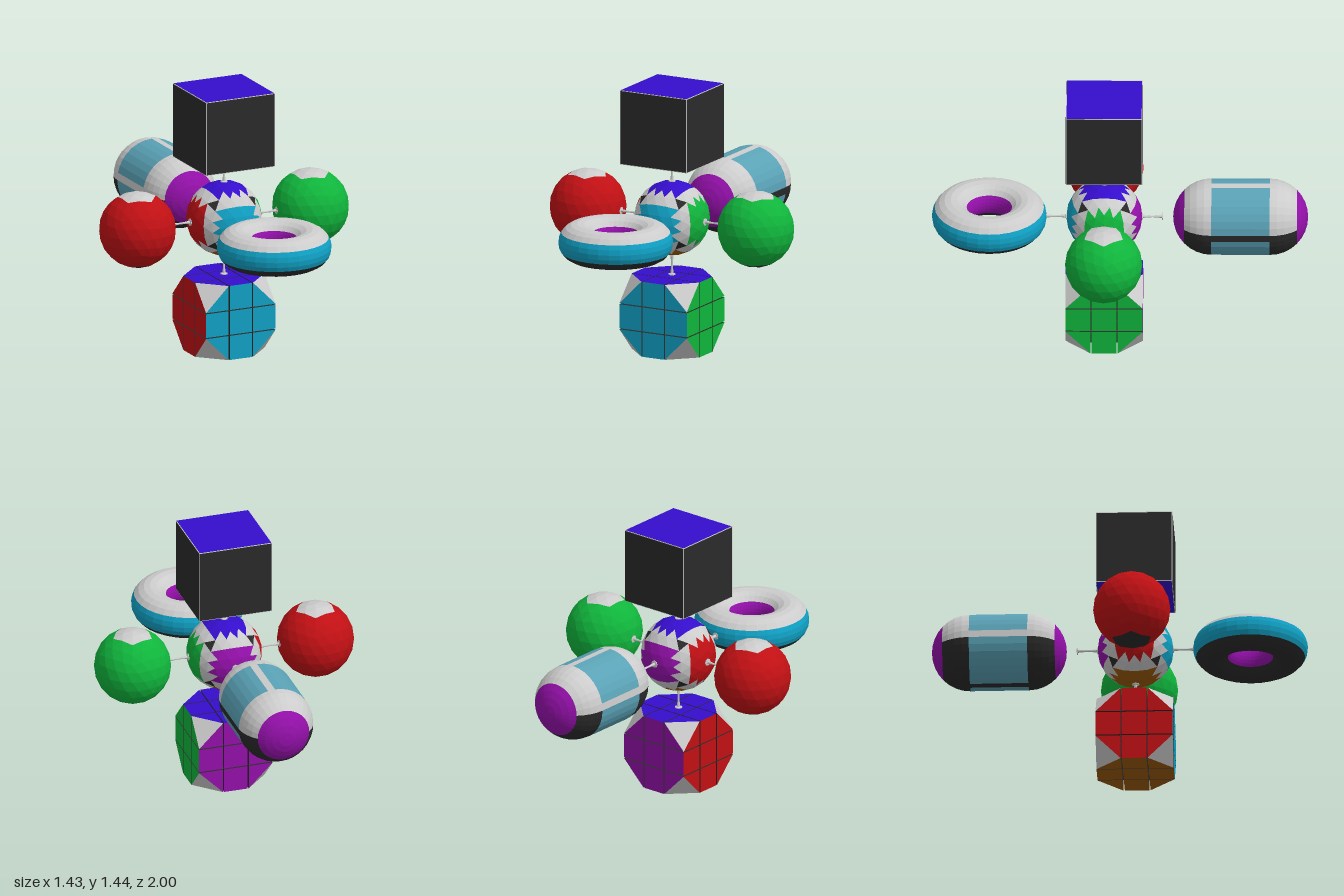
import * as THREE from 'three';
import { mergeGeometries } from 'three/addons/utils/BufferGeometryUtils.js';
import { ConvexGeometry } from 'three/addons/geometries/ConvexGeometry.js';

const GREY = 0xcccccc, DARK = 0x2a2a2a, BLUE = 0x350dcc, RED = 0xc01014, GREEN = 0x10b53c,
  CYAN = 0x10a0c4, PURPLE = 0x9410aa, BROWN = 0x9c5a04, PANE = 0x5aa2b6;
const CY = 0.725, CZ = 0.08; // hub centre
const RAD = Math.PI / 180;
const AXES = [
  [[1, 0, 0], GREEN], [[-1, 0, 0], RED], [[0, 1, 0], BLUE],
  [[0, -1, 0], BROWN], [[0, 0, 1], CYAN], [[0, 0, -1], PURPLE],
].map(([d, color]) => ({ dir: new THREE.Vector3(...d), color }));

function add(parent, name, geometry, color, side = THREE.FrontSide) {
  const mesh = new THREE.Mesh(geometry, new THREE.MeshStandardMaterial({ color, flatShading: true, side }));
  mesh.name = name;
  parent.add(mesh);
  return mesh;
}

function part(root, name, x, y, z) {
  const g = new THREE.Group();
  g.name = name;
  g.position.set(x, y, z);
  root.add(g);
  return g;
}

// Sorts triangles by colour, one mesh per colour
function addColoured(parent, name, geometry, pick) {
  const p = (geometry.index ? geometry.toNonIndexed() : geometry).attributes.position;
  const sets = new Map();
  const tri = new THREE.Triangle(), mid = new THREE.Vector3(), normal = new THREE.Vector3();
  for (let i = 0; i < p.count; i += 3) {
    tri.setFromAttributeAndIndices(p, i, i + 1, i + 2);
    const color = pick(tri.getMidpoint(mid), tri.getNormal(normal));
    if (!sets.has(color)) sets.set(color, []);
    for (const v of [tri.a, tri.b, tri.c]) sets.get(color).push(v.x, v.y, v.z);
  }
  for (const [color, list] of sets) {
    const g = new THREE.BufferGeometry();
    g.setAttribute('position', new THREE.Float32BufferAttribute(list, 3));
    g.computeVertexNormals();
    add(parent, name, g, color);
  }
}

// Points on an arc in the lathe plane, angles in degrees
function arc(cx, cy, r, from, to, steps) {
  return Array.from({ length: steps + 1 }, (_, i) => {
    const a = (from + (to - from) * i / steps) * RAD;
    return new THREE.Vector2(Math.max(0, cx + r * Math.cos(a)), cy + r * Math.sin(a));
  });
}

function buildHub(root) {
  const hub = part(root, 'hub', 0, CY, CZ);
  const ball = new THREE.IcosahedronGeometry(0.202, 3).rotateY(Math.PI / 2);
  const corner = Math.cos(4 * RAD), patch = Math.cos(37 * RAD);
  addColoured(hub, 'hubBall', ball, (mid) => {
    const d = mid.clone().normalize();
    // small dark triangle in each octant
    if ((Math.abs(d.x) + Math.abs(d.y) + Math.abs(d.z)) / Math.sqrt(3) > corner) return DARK;
    const hit = AXES.find((a) => a.dir.dot(d) > patch);
    return hit ? hit.color : GREY;
  });
  // flared rods with a washer at each end
  const rod = [[0.02, 0.195], [0.02, 0.203], [0.009, 0.205], [0.006, 0.235], [0.005, 0.255],
    [0.006, 0.275], [0.009, 0.305], [0.02, 0.307], [0.02, 0.312]].map(([x, y]) => new THREE.Vector2(x, y));
  for (const { dir } of AXES) {
    add(hub, 'connectingRod', new THREE.LatheGeometry(rod, 8), GREY, THREE.DoubleSide)
      .quaternion.setFromUnitVectors(new THREE.Vector3(0, 1, 0), dir);
  }
}

function buildSideBall(root, name, x, color) {
  const g = part(root, name, x, CY, CZ);
  // a vertex points straight up so the end caps are pentagons
  const ball = new THREE.IcosahedronGeometry(0.205, 3)
    .rotateX(-Math.atan((1 + Math.sqrt(5)) / 2)).rotateY(Math.PI / 2);
  const cap = Math.cos(28.5 * RAD);
  addColoured(g, name, ball, (mid) => {
    const h = mid.y / mid.length();
    return h > cap ? GREY : h < -cap ? DARK : color;
  });
}

function buildTopCube(root) {
  const g = part(root, 'topCube', 0, 1.2375, CZ);
  add(g, 'cubeEdges', new THREE.BoxGeometry(0.405, 0.405, 0.405), GREY);
  for (const { dir } of AXES) {
    const panel = add(g, 'cubePanel', new THREE.BoxGeometry(0.398, 0.398, 0.002), dir.y ? BLUE : DARK);
    panel.position.copy(dir).multiplyScalar(0.2025);
    panel.quaternion.setFromUnitVectors(new THREE.Vector3(0, 0, 1), dir);
  }
}

// Cube of 27 separate cells with its eight corners cut off
function buildCutCube(root) {
  const g = part(root, 'cutCube', 0, 0.205, CZ);
  const H = 0.205, pitch = 0.137, half = 0.068 - 0.0025, S = [-1, 0, 1], cells = [];
  for (const i of S) for (const j of S) for (const k of S) {
    const pts = [];
    for (const a of [-1, 1]) for (const b of [-1, 1]) for (const c of [-1, 1]) {
      if (a === i && b === j && c === k) continue; // cut corner
      const at = (s, t) => (s === t ? s * H : s * pitch + t * half);
      pts.push(new THREE.Vector3(at(i, a), at(j, b), at(k, c)));
    }
    cells.push(new ConvexGeometry(pts));
  }
  addColoured(g, 'cubeCells', mergeGeometries(cells), (mid, n) => {
    const face = AXES.find((a) => a.dir.dot(n) > 0.99);
    if (!face) return GREY;
    return face.dir.dot(mid) > H - 0.002 ? face.color : DARK;
  });
  // pins joining the cells
  const L = pitch * 2, w = 0.05;
  for (const a of S) for (const b of S) {
    add(g, 'pin', new THREE.BoxGeometry(L, w, w), DARK).position.set(0, a * pitch, b * pitch);
    add(g, 'pin', new THREE.BoxGeometry(w, L, w), DARK).position.set(a * pitch, 0, b * pitch);
    add(g, 'pin', new THREE.BoxGeometry(w, w, L), DARK).position.set(a * pitch, b * pitch, 0);
  }
}

function buildRing(root) {
  const g = part(root, 'ring', 0, CY, 0.69);
  const bands = [['outerBand', -32, 32, CYAN], ['topBand', 32, 148, GREY],
    ['innerBand', 148, 212, PURPLE], ['bottomBand', 212, 328, DARK]];
  for (const [name, from, to, color] of bands) {
    add(g, name, new THREE.LatheGeometry(arc(0.205, 0, 0.1, from, to, name.startsWith('o') ? 4 : 6), 32), color);
  }
}

function buildCapsule(root) {
  const g = part(root, 'capsule', 0, CY, -0.643);
  g.rotation.x = -Math.PI / 2;
  const R = 0.203, h = 0.155;
  const strip = 11.25 * RAD, quarter = Math.PI / 2;
  const wall = [new THREE.Vector2(R, -h), new THREE.Vector2(R, h)];
  add(g, 'endCap', new THREE.LatheGeometry(arc(0, -h, R, -90, -45, 4), 32), PURPLE);
  add(g, 'endCap', new THREE.LatheGeometry(arc(0, h, R, 45, 90, 4), 32), PURPLE);
  for (let k = 0; k < 4; k++) {
    const color = k === 0 || k === 3 ? GREY : DARK, start = k * quarter;
    add(g, 'shoulder', new THREE.LatheGeometry(arc(0, -h, R, -45, 0, 4), 8, start, quarter), color);
    add(g, 'shoulder', new THREE.LatheGeometry(arc(0, h, R, 0, 45, 4), 8, start, quarter), color);
    add(g, 'wallStrip', new THREE.LatheGeometry(wall, 1, start, strip), color);
    add(g, 'wallPane', new THREE.LatheGeometry(wall, 7, start + strip, quarter - strip), PANE);
  }
}

export function createModel() {
  const root = new THREE.Group();
  root.name = 'shapeCluster';
  buildHub(root);
  buildSideBall(root, 'leftBall', 0.51, GREEN);
  buildSideBall(root, 'rightBall', -0.51, RED);
  buildTopCube(root);
  buildCutCube(root);
  buildRing(root);
  buildCapsule(root);
  return root;
}
